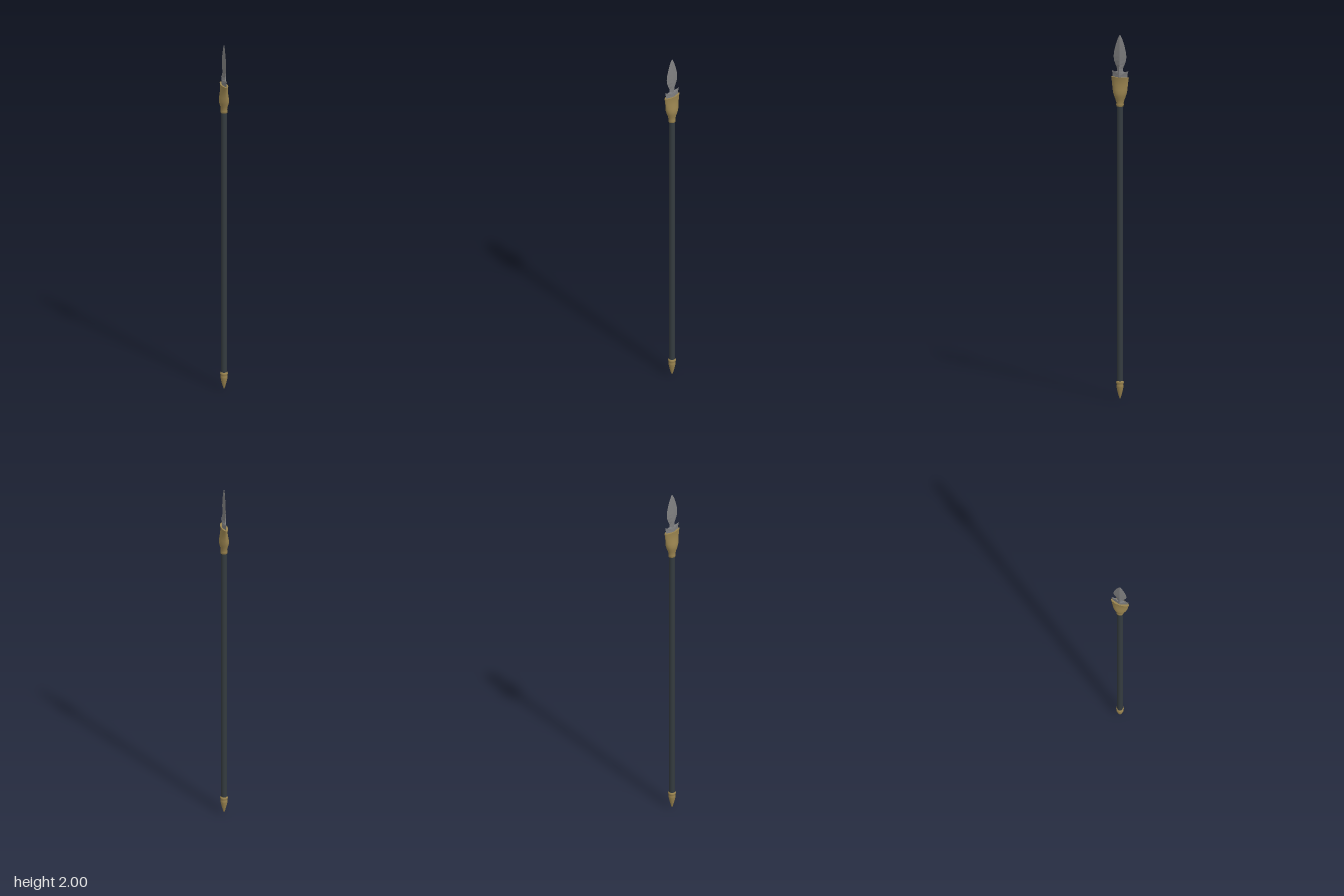
import * as THREE from 'three';

// Joins closed cross-sections (listed from bottom to top) into a skin.
function loft(sections) {
  const n = sections[0].length, index = [];
  for (let i = 0; i < sections.length - 1; i++) {
    for (let j = 0; j < n; j++) {
      const k = (j + 1) % n;
      const a = i * n + j, b = i * n + k, c = a + n, d = b + n;
      index.push(a, c, b, b, c, d);
    }
  }
  const geo = new THREE.BufferGeometry();
  geo.setAttribute('position', new THREE.Float32BufferAttribute(sections.flat(2), 3));
  geo.setIndex(index);
  geo.computeVertexNormals();
  return geo;
}

// Lens-shaped section: rounded on the x sides, narrower towards the z ends.
function lens(y, rx, rz, power) {
  return Array.from({ length: 24 }, (_, j) => {
    const a = (j / 24) * Math.PI * 2, c = Math.cos(a);
    return [rx * Math.sign(c) * Math.abs(c) ** power, y, rz * Math.sin(a)];
  });
}

// Diamond section: two edges along z and two ridges along x.
function diamond([edgeY, edgeZ, ridgeY, ridgeX]) {
  return [[ridgeX, ridgeY, 0], [0, edgeY, edgeZ], [-ridgeX, ridgeY, 0], [0, edgeY, -edgeZ]];
}

export function createModel() {
  const group = new THREE.Group();
  const material = (name, color) => {
    const m = new THREE.MeshStandardMaterial({ color });
    m.name = name;
    return m;
  };
  const darkWood = material('darkWood', 0x343b3f);
  const brass = material('brass', 0x99834f);
  const steel = material('steel', 0x7f7f80);
  steel.flatShading = true;

  const add = (name, geo, mat) => {
    const mesh = new THREE.Mesh(geo, mat);
    mesh.name = name;
    group.add(mesh);
    return mesh;
  };

  // Long round shaft
  add('shaft', new THREE.CylinderGeometry(0.0155, 0.0155, 1.54, 16), darkWood).position.y = 0.86;

  // Pointed butt cap with a small collar
  const butt = [[0, 0], [0.006, 0.015], [0.013, 0.04], [0.019, 0.068], [0.0195, 0.078],
    [0.0165, 0.083], [0.0205, 0.089], [0.0205, 0.098], [0.015, 0.102]];
  add('buttCap', new THREE.LatheGeometry(butt.map(([r, y]) => new THREE.Vector2(r, y)), 16), brass);

  // Flared socket: round at the shaft, flattened at the blade
  const socket = [
    [1.608, 0.014, 0.014, 1], [1.608, 0.019, 0.020, 1], [1.62, 0.019, 0.021, 1],
    [1.626, 0.017, 0.020, 1], [1.645, 0.020, 0.025, 1], [1.662, 0.025, 0.032, 1],
    [1.68, 0.027, 0.039, 1.1], [1.7, 0.0235, 0.043, 1.2], [1.725, 0.018, 0.046, 1.2],
    [1.75, 0.0165, 0.049, 1.2], [1.768, 0.018, 0.052, 1.2], [1.768, 0.018, 0.052, 1.2],
    [1.768, 0, 0, 1.2],
  ];
  add('socket', loft(socket.map((s) => lens(...s))), brass);

  // Leaf blade with a barb on each side of its foot
  const blade = [
    [1.76, 0.043, 1.76, 0.0125], [1.782, 0.043, 1.772, 0.0122], [1.804, 0.049, 1.778, 0.012],
    [1.787, 0.035, 1.784, 0.0118], [1.797, 0.028, 1.792, 0.0115], [1.8, 0.018, 1.8, 0.011],
    [1.815, 0.017, 1.815, 0.0105], [1.835, 0.026, 1.835, 0.01], [1.858, 0.035, 1.858, 0.0095],
    [1.88, 0.0375, 1.88, 0.009], [1.91, 0.034, 1.91, 0.008], [1.945, 0.025, 1.945, 0.0065],
    [1.975, 0.0145, 1.975, 0.0045], [1.992, 0.006, 1.992, 0.0025], [2, 0, 2, 0],
  ];
  add('blade', loft(blade.map(diamond)), steel);

  return group;
}
